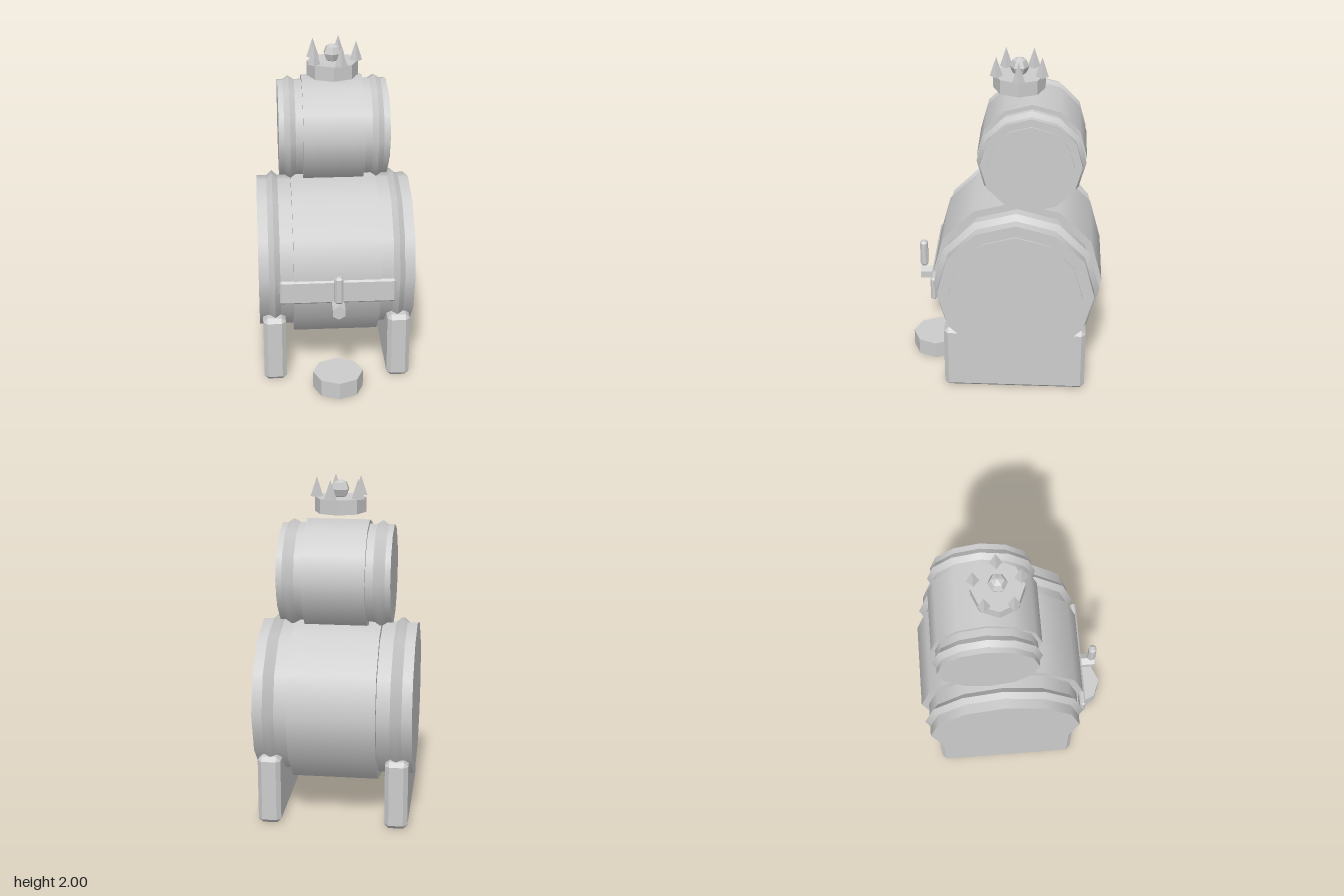
import * as THREE from 'three';
import { ConvexGeometry } from 'three/addons/geometries/ConvexGeometry.js';

export function createModel() {
  const model = new THREE.Group();
  model.name = 'stackedBarrels';
  const CX = -0.005; // shared centre line

  const smoothGrey = new THREE.MeshStandardMaterial({ color: 0xcccccc });
  smoothGrey.name = 'grey';
  const add = (parent, name, geometry, x, y, z) => {
    const mesh = new THREE.Mesh(geometry, smoothGrey);
    mesh.name = name;
    mesh.position.set(x, y, z);
    parent.add(mesh);
    return mesh;
  };

  // Split faces so low-poly parts are shaded flat
  const flat = (geometry) => {
    const g = geometry.toNonIndexed();
    g.computeVertexNormals();
    return g;
  };

  // Box with a single chamfer of size c along every edge
  const chamferBox = (w, h, d, c) => {
    const points = [];
    for (const sx of [-1, 1]) for (const sy of [-1, 1]) for (const sz of [-1, 1]) {
      for (let axis = 0; axis < 3; axis++) {
        const inset = [c, c, c];
        inset[axis] = 0;
        points.push(new THREE.Vector3(
          sx * (w / 2 - inset[0]), sy * (h / 2 - inset[1]), sz * (d / 2 - inset[2])));
      }
    }
    return new ConvexGeometry(points);
  };

  // Twelve-sided drum lying along x
  const drum = (r1, r2, length, open = false) =>
    new THREE.CylinderGeometry(r2, r1, length, 12, 1, open).rotateZ(-Math.PI / 2);

  // Barrel: body, raised middle, a ridged hoop near each end, a lid on the right
  const addBarrel = (name, y, z, s) => {
    const barrel = new THREE.Group();
    barrel.name = name;
    barrel.position.set(CX, y, z);
    model.add(barrel);
    add(barrel, 'barrelBody', drum(s.endR, s.endR, s.half * 2), 0, 0, 0);
    add(barrel, 'barrelMiddle', drum(s.midR, s.midR, s.midHalf * 2), 0, 0, 0);
    for (const side of [-1, 1]) {
      const x = side * s.hoopX;
      add(barrel, 'hoopSlope', drum(s.endR, s.hoopR, 0.033, true), x - 0.0165, 0, 0);
      add(barrel, 'hoopSlope', drum(s.hoopR, s.endR, 0.033, true), x + 0.0165, 0, 0);
    }
    add(barrel, 'barrelLid', drum(s.lidR, s.lidR, 0.02), s.half, 0, 0);
  };
  addBarrel('largeBarrel', 0.685, -0.08,
    { half: 0.46, endR: 0.46, midHalf: 0.255, midR: 0.505, hoopX: 0.367, hoopR: 0.49, lidR: 0.39 });
  addBarrel('smallBarrel', 1.455, -0.16,
    { half: 0.322, endR: 0.29, midHalf: 0.18, midR: 0.315, hoopX: 0.257, hoopR: 0.312, lidR: 0.245 });

  // Support boards under the large barrel
  for (const side of [-1, 1]) {
    add(model, side > 0 ? 'leftSupport' : 'rightSupport',
      chamferBox(0.135, 0.415, 0.85, 0.025), CX + side * 0.373, 0.2075, -0.075);
  }

  // Tap: front plank, spout and handle
  add(model, 'frontPlank', chamferBox(0.68, 0.145, 0.035, 0.01), CX, 0.6325, 0.4125);
  add(model, 'spout',
    flat(new THREE.CylinderGeometry(0.043, 0.043, 0.145, 6).rotateX(Math.PI / 2)), CX, 0.547, 0.4525);
  add(model, 'tapHandle', chamferBox(0.05, 0.17, 0.047, 0.013), CX, 0.685, 0.503);

  // Cup on the floor
  const disc = (h) => flat(new THREE.CylinderGeometry(0.15, 0.15, h, 8));
  add(model, 'cup', disc(0.105), CX, 0.0525, 0.435);

  // Floating crown: base, five spikes and a gem
  const crown = new THREE.Group();
  crown.name = 'crown';
  crown.position.set(CX, 1.8, -0.08);
  model.add(crown);
  add(crown, 'crownBase', disc(0.085), 0, 0.0425, 0);
  for (let i = 0; i < 5; i++) {
    const a = (i * Math.PI * 2) / 5;
    add(crown, 'crownSpike', flat(new THREE.ConeGeometry(0.037, 0.115, 4)),
      0.137 * Math.cos(a), 0.1425, 0.137 * Math.sin(a));
  }
  add(crown, 'crownGem',
    flat(new THREE.SphereGeometry(0.056, 6, 4).rotateY(Math.PI / 2)), 0, 0.13, 0);

  return model;
}
